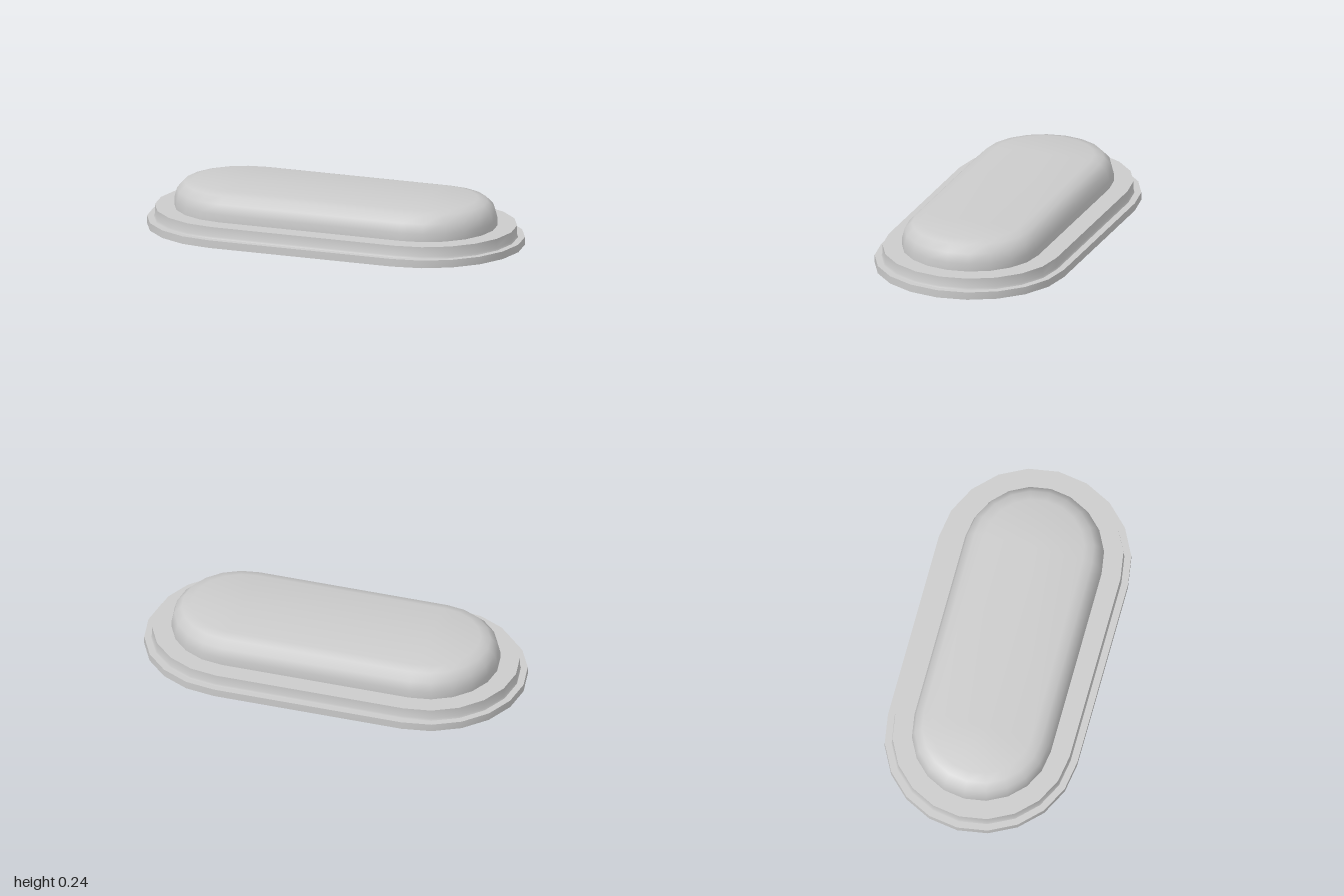
import * as THREE from 'three';
import { toCreasedNormals } from 'three/addons/utils/BufferGeometryUtils.js';

const HALF_STRAIGHT = 0.5; // half the distance between the two end centres
const END_SEGMENTS = 10;   // facets in each rounded end

// One stadium-shaped ring: two half circles joined by straight sides.
function ring(radius, y) {
  const points = [];
  for (const side of [1, -1]) {
    for (let i = 0; i <= END_SEGMENTS; i++) {
      const a = (i / END_SEGMENTS) * Math.PI;
      points.push([side * (HALF_STRAIGHT + radius * Math.sin(a)), y, side * radius * Math.cos(a)]);
    }
  }
  return points;
}

// Skin a profile of [radius, height] pairs; radius 0 closes the middle.
function stadiumLoft(profile) {
  const rings = profile.map(([r, y]) => ring(r, y));
  const positions = [];
  for (let k = 0; k < rings.length - 1; k++) {
    const low = rings[k], high = rings[k + 1], n = low.length;
    for (let i = 0; i < n; i++) {
      const j = (i + 1) % n;
      positions.push(...low[i], ...low[j], ...high[j]);
      const collapsed = profile[k + 1][0] === 0 && i % (END_SEGMENTS + 1) !== END_SEGMENTS;
      if (!collapsed) positions.push(...low[i], ...high[j], ...high[i]);
    }
  }
  const geometry = new THREE.BufferGeometry();
  geometry.setAttribute('position', new THREE.Float32BufferAttribute(positions, 3));
  return toCreasedNormals(geometry, THREE.MathUtils.degToRad(35));
}

export function createModel() {
  const model = new THREE.Group();
  model.name = 'steppedCover';
  const material = new THREE.MeshStandardMaterial({ color: 0xcccccc, side: THREE.DoubleSide });

  const add = (name, profile) => {
    const mesh = new THREE.Mesh(stadiumLoft(profile), material);
    mesh.name = name;
    model.add(mesh);
  };

  // Open-bottomed rim with its narrow ledge
  add('baseRim', [[0.5, 0], [0.5, 0.04], [0.465, 0.04]]);

  // Raised step and the wide flange around the dome
  add('step', [[0.465, 0.04], [0.46, 0.05], [0.46, 0.1], [0.36, 0.1]]);

  // Hollow dome: upright wall, rounded shoulder, flat top
  const dome = [[0.36, 0.1]];
  for (let i = 0; i <= 3; i++) {
    const a = (i / 3) * Math.PI / 2;
    dome.push([0.26 + 0.1 * Math.cos(a), 0.14 + 0.1 * Math.sin(a)]);
  }
  dome.push([0, 0.24]);
  add('dome', dome);

  return model;
}
